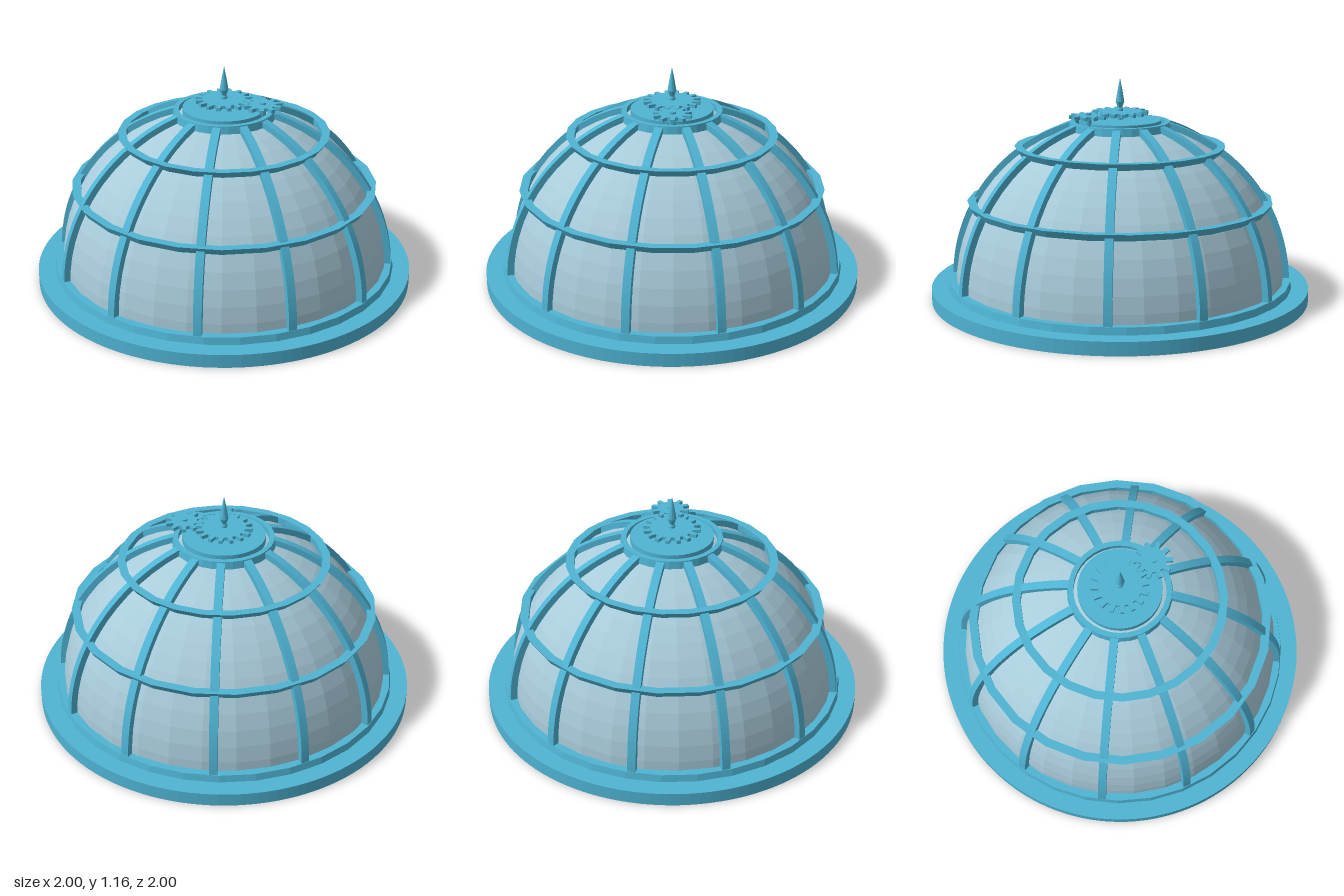
import * as THREE from 'three';

const frameMat = new THREE.MeshStandardMaterial({ color: 0x4fb4d4, flatShading: true });
frameMat.name = 'frame blue';
const glassMat = new THREE.MeshStandardMaterial({ color: 0xa8cbda, flatShading: true });
glassMat.name = 'pale glass';

const DOME_Y = 0.07; // height of the dome's centre

export function createModel() {
  const root = new THREE.Group();
  root.name = 'dome';

  const add = (name, geometry, x = 0, y = 0, z = 0, material = frameMat) => {
    const mesh = new THREE.Mesh(geometry, material);
    mesh.name = name;
    mesh.position.set(x, y, z);
    root.add(mesh);
    return mesh;
  };

  // Solid band round the dome; the outer wall may lean outwards
  const band = (name, inner, outerLow, outerHigh, y0, y1, sides = 24) => {
    const profile = [[inner, y0], [outerLow, y0], [outerHigh, y1], [inner, y1], [inner, y0]]
      .map(([r, y]) => new THREE.Vector2(r, y));
    add(name, new THREE.LatheGeometry(profile, sides, Math.PI / sides));
  };

  // Flat gear lying in the xz plane
  const gear = (name, x, y, teeth, rootR, tipR, turn) => {
    const step = (Math.PI * 2) / teeth;
    const points = [];
    for (let i = 0; i < teeth; i++) {
      for (const [offset, r] of [[-0.3, rootR], [-0.17, tipR], [0.17, tipR], [0.3, rootR]]) {
        const a = turn + (i + offset) * step;
        points.push(new THREE.Vector2(Math.cos(a) * r, Math.sin(a) * r));
      }
    }
    const geometry = new THREE.ExtrudeGeometry(new THREE.Shape(points), { depth: 0.018, bevelEnabled: false });
    geometry.rotateX(-Math.PI / 2);
    add(name, geometry, x, y, 0);
  };

  // Base plate and glass shell
  add('basePlate', new THREE.CylinderGeometry(1, 1, 0.07, 128), 0, 0.035, 0);
  add('glassShell', new THREE.SphereGeometry(0.87, 32, 16, 0, Math.PI * 2, 0, Math.PI / 2), 0, DOME_Y, 0, glassMat);

  // Horizontal rings
  band('footRing', 0.855, 0.912, 0.905, 0.07, 0.107, 32);
  band('middleRing', 0.76, 0.785, 0.805, 0.49, 0.525);
  band('upperRing', 0.51, 0.53, 0.553, 0.777, 0.812);
  band('crownRing', 0.235, 0.268, 0.262, 0.895, 0.937, 32);

  // Twelve curved ribs
  const low = 0.03, high = THREE.MathUtils.degToRad(74);
  const arc = new THREE.Shape();
  arc.absarc(0, 0, 0.9, low, high, false);
  arc.absarc(0, 0, 0.85, high, low, true);
  const ribGeometry = new THREE.ExtrudeGeometry(arc, { depth: 0.042, bevelEnabled: false, curveSegments: 16 });
  ribGeometry.translate(0, 0, -0.021);
  for (let i = 0; i < 12; i++) {
    add('rib', ribGeometry, 0, DOME_Y, 0).rotation.y = (i + 0.5) * Math.PI / 6;
  }

  // Crown disc with its gears
  add('crownDisc', new THREE.CylinderGeometry(0.215, 0.215, 0.06, 48), 0, 0.916, 0);
  gear('largeGear', 0, 0.973, 16, 0.112, 0.148, Math.PI / 16);
  gear('smallGear', 0.215, 0.973, 10, 0.066, 0.1, 0);
  add('smallAxle', new THREE.CylinderGeometry(0.017, 0.017, 0.095, 12), 0.215, 0.953, 0);

  // Pointed finial
  const finial = [[0, 0.93], [0.017, 0.93], [0.017, 1.0], [0.012, 1.01], [0.023, 1.04], [0.012, 1.105], [0, 1.165]];
  add('finial', new THREE.LatheGeometry(finial.map(([r, y]) => new THREE.Vector2(r, y)), 12));

  return root;
}
